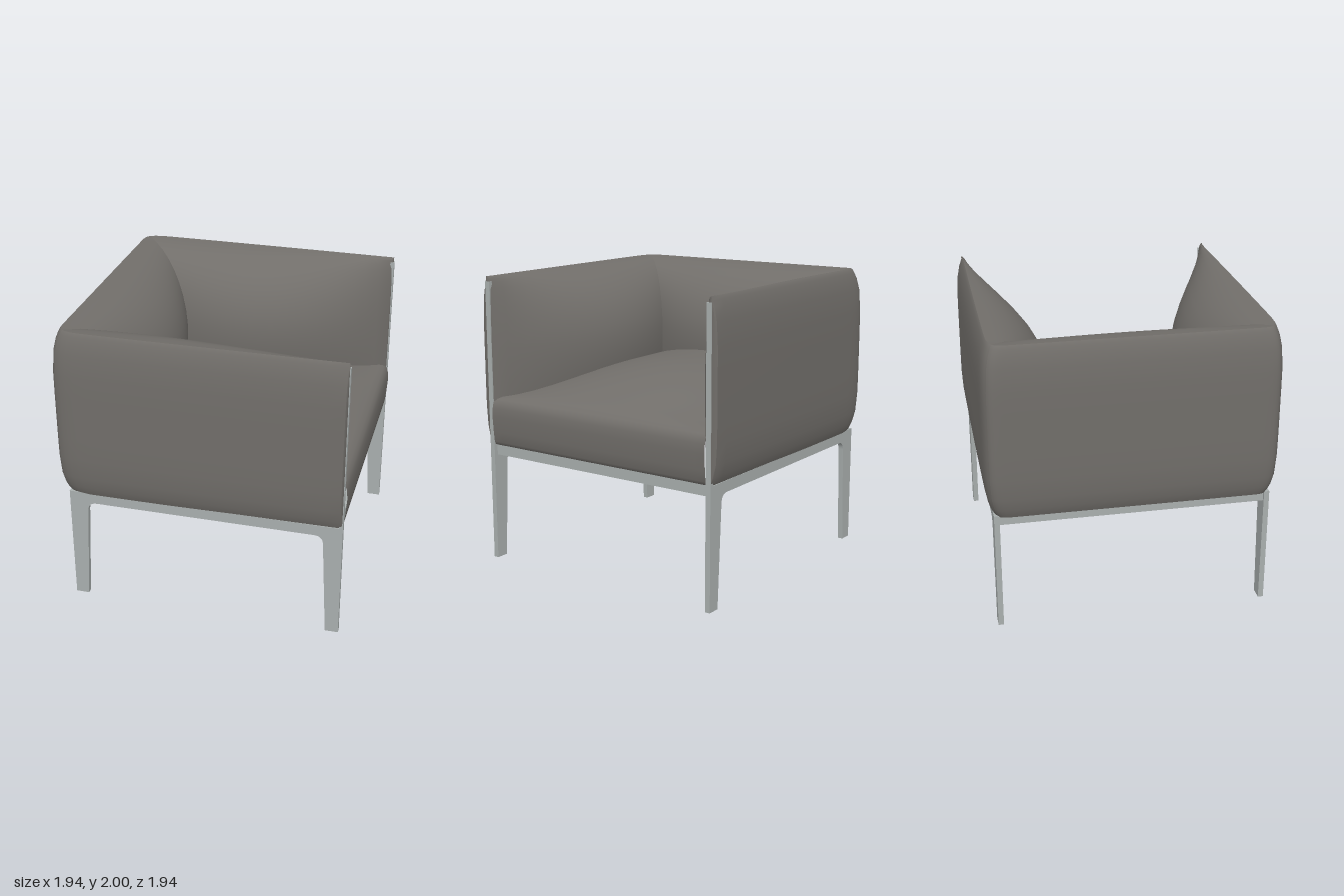
import * as THREE from 'three';
import { toCreasedNormals } from 'three/addons/utils/BufferGeometryUtils.js';

const fabric = new THREE.MeshStandardMaterial({ color: 0x716e6a });
fabric.name = 'warm grey upholstery';
const metal = new THREE.MeshStandardMaterial({ color: 0xa9afae });
metal.name = 'light grey metal';

// Skin a list of closed cross-section loops.
function loft(rows, crease = 0.8) {
  const n = rows[0].length, index = [];
  for (let i = 0; i < rows.length - 1; i++) {
    for (let j = 0; j < n; j++) {
      const k = (j + 1) % n, a = i * n, b = a + n;
      index.push(a + j, a + k, b + j, a + k, b + k, b + j);
    }
  }
  const g = new THREE.BufferGeometry();
  g.setAttribute('position', new THREE.Float32BufferAttribute(rows.flat(2), 3));
  g.setIndex(index);
  return toCreasedNormals(g, crease);
}

function add(parent, name, geometry, material) {
  const mesh = new THREE.Mesh(geometry, material);
  mesh.name = name;
  parent.add(mesh);
  return mesh;
}

// Heights of the cushion section: up the inside, over the rim, down the outside.
const innerY = [1, 1.15, 1.3, 1.4, 1.5, 1.6, 1.7, 1.78, 1.85, 1.91, 1.95, 1.975, 1.986];
const outerY = [1.988, 1.97, 1.93, 1.85, 1.7, 1.55, 1.4, 1.25, 1.1, 0.96, 0.88, 0.84, 0.818];
const section = [
  { y: 0.818, h: 0 },
  ...innerY.map(y => ({ y, h: Math.sqrt(1 - ((y - 1.45) / (y > 1.45 ? 0.54 : 0.8)) ** 2) })),
  { y: 1.995, h: 0, rim: true },
  ...outerY.map(y => ({ y, out: 0.97 - 0.05 * (Math.abs(y - 1.405) / 0.59) ** 6 })),
];

// Distance from the chair's middle; bulge is the inner padding depth, trim rounds the outside.
const offset = (p, bulge, trim) => {
  if (p.rim) return 0.918 - trim;
  return p.out !== undefined ? p.out - trim : 0.9 - bulge * p.h;
};

// Arm: mitred at the back corner, thinning towards the front.
function armRows() {
  const rows = [];
  const stations = [0, 0.008, 0.02, 0.04, 0.07, 0.11];
  for (let i = 1; i <= 16; i++) stations.push(0.11 + 0.89 * i / 16);
  for (const s of stations) {
    const bulge = 0.42 + 0.3 * s - 0.69 * s * s;
    const trim = 0.03 * (1 - s) ** 45 + 0.012 * s * s;
    rows.push(section.map(p => {
      const corner = offset(p, 0.42, 0.03);
      return [-corner + (0.943 + corner) * s, p.y, offset(p, bulge, trim)];
    }));
  }
  // rounded front end
  const last = rows[rows.length - 1];
  for (const [x, f] of [[0.95, 0.3], [0.952, 1]]) {
    rows.push(last.map(([, y, z]) => [x, y, z + (0.915 - z) * f]));
  }
  return rows;
}

// Back: spans between the two mitres, deepest in the middle.
function backRows() {
  const half = [0.15, 0.3, 0.45, 0.6, 0.72, 0.82, 0.89, 0.93, 0.96, 0.98, 0.992, 1];
  const stations = [...half.map(s => -s).reverse(), 0, ...half];
  return stations.map(s => section.map(p => {
    const bulge = 0.42 + 0.08 * (1 - s * s);
    const corner = offset(p, 0.42, 0.03);
    return [-offset(p, bulge, 0.03 * Math.abs(s) ** 45), p.y, s * corner];
  }));
}

// Seat: rounded front face and a domed top.
function seatRows() {
  const rows = [];
  for (let i = 0; i <= 24; i++) {
    const z = -0.882 + 1.764 * i / 24;
    const dome = 0.22 * (1 - (z / 0.882) ** 2);
    const row = [[0.925, 0.82], [0.945, 0.828], [0.955, 0.85], [0.962, 0.92],
      [0.97, 1.03], [0.965, 1.09], [0.955, 1.125], [0.935, 1.148]];
    for (let k = 0; k <= 18; k++) {
      const x = 0.9 - 1.78 * k / 18;
      const rise = x > -0.1 ? 1 - ((x + 0.1) / 1.04) ** 2 : 1;
      row.push([x, 1.16 + dome * rise]);
    }
    row.push([-0.88, 0.82]);
    rows.push(row.map(([x, y]) => [x, y, z]));
  }
  return rows;
}

// Side frame: two tapered legs, a rail and the slim post up the arm's front edge.
function sideFrame() {
  const s = new THREE.Shape();
  s.moveTo(-0.905, 0);
  s.lineTo(-0.815, 0);
  s.lineTo(-0.78, 0.69);
  s.quadraticCurveTo(-0.776, 0.75, -0.715, 0.75);
  s.lineTo(0.77, 0.75);
  s.quadraticCurveTo(0.828, 0.75, 0.832, 0.69);
  s.lineTo(0.868, 0);
  s.lineTo(0.957, 0);
  s.lineTo(0.957, 1.96);
  s.lineTo(0.93, 1.96);
  s.lineTo(0.93, 0.825);
  s.lineTo(-0.905, 0.825);
  s.closePath();
  const g = new THREE.ExtrudeGeometry(s, { depth: 0.036, bevelEnabled: false, curveSegments: 8 });
  return toCreasedNormals(g, 0.5);
}

export function createModel() {
  const chair = new THREE.Group();
  chair.name = 'armchair';

  // Upholstery
  const arm = armRows();
  const mirrored = arm.map(r => r.map(([x, y, z]) => [x, y, -z])).reverse();
  add(chair, 'leftArm', loft(arm), fabric);
  add(chair, 'rightArm', loft(mirrored), fabric);
  add(chair, 'backrest', loft(backRows()), fabric);
  add(chair, 'seat', loft(seatRows()), fabric);

  // Metal frame
  const frame = new THREE.Group();
  frame.name = 'frame';
  chair.add(frame);
  const side = sideFrame();
  for (const [name, z] of [['leftSideFrame', 0.884], ['rightSideFrame', -0.92]]) {
    add(frame, name, side, metal).position.z = z;
  }
  for (const [name, x] of [['frontRail', 0.91], ['backRail', -0.87]]) {
    add(frame, name, new THREE.BoxGeometry(0.035, 0.072, 1.78), metal).position.set(x, 0.786, 0);
  }
  return chair;
}
